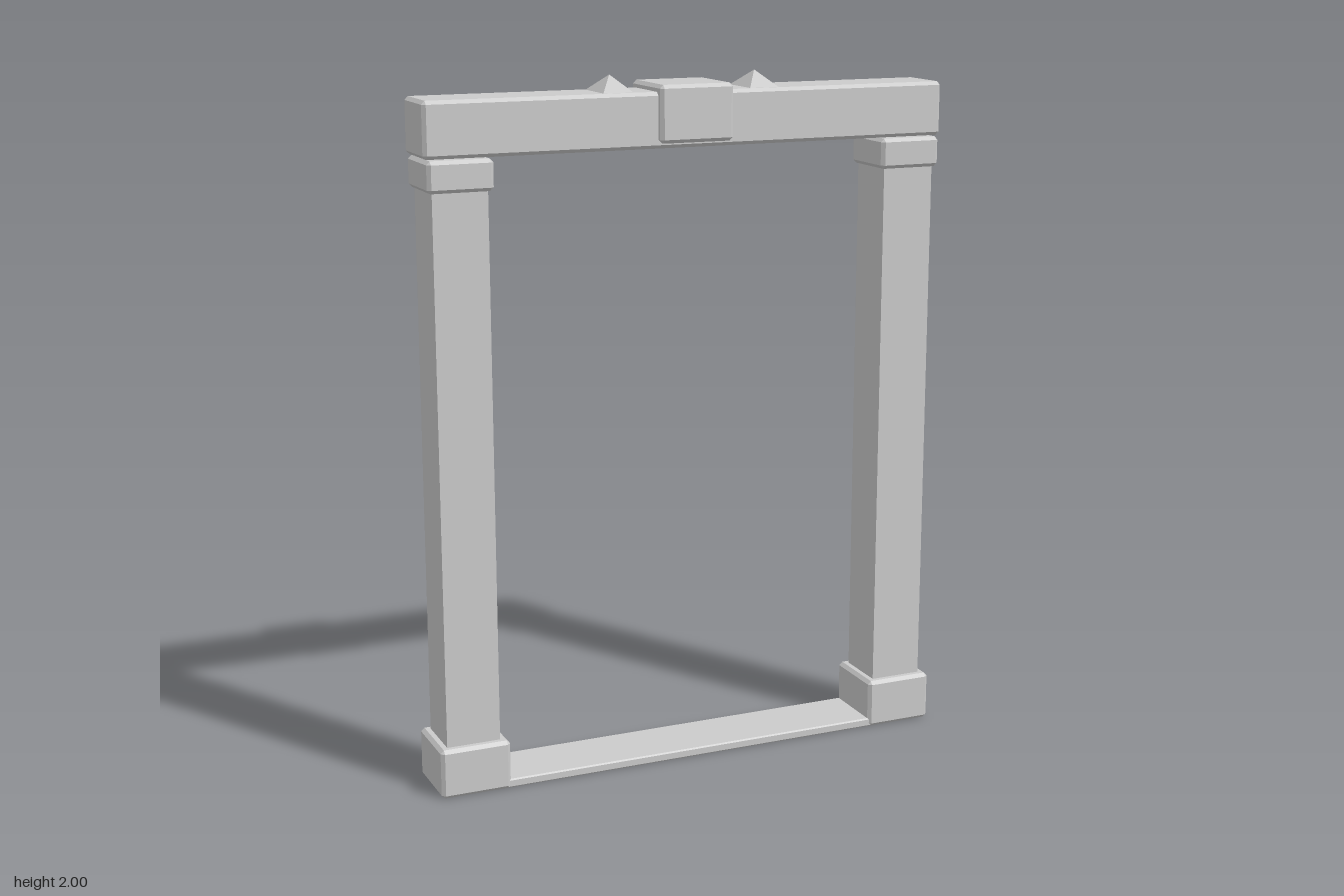
import * as THREE from 'three';
import { ConvexGeometry } from 'three/addons/geometries/ConvexGeometry.js';

const material = new THREE.MeshStandardMaterial({ color: 0xcccccc, flatShading: true });

// Box with every edge chamfered: the hull of three slightly inset faces per corner
function chamferBox(width, height, depth, bevel) {
  const half = [width / 2, height / 2, depth / 2];
  const points = [];
  for (const sx of [-1, 1]) for (const sy of [-1, 1]) for (const sz of [-1, 1]) {
    for (let full = 0; full < 3; full++) {
      const c = half.map((h, axis) => (axis === full ? h : h - bevel));
      points.push(new THREE.Vector3(sx * c[0], sy * c[1], sz * c[2]));
    }
  }
  return new ConvexGeometry(points);
}

export function createModel() {
  const model = new THREE.Group();
  model.name = 'doorFrame';

  function add(name, geometry, x, y0, y1) {
    const mesh = new THREE.Mesh(geometry, material);
    mesh.name = name;
    mesh.position.set(x, (y0 + y1) / 2, 0);
    model.add(mesh);
  }
  function block(name, x, width, y0, y1, depth, bevel = 0.01) {
    add(name, chamferBox(width, y1 - y0, depth, bevel), x, y0, y1);
  }

  // Threshold and the beam across the top
  block('threshold', 0, 1.54, 0, 0.026, 0.194, 0.004);
  block('lintel', 0, 1.56, 1.8, 1.955, 0.172);
  block('keystone', 0, 0.22, 1.815, 1.975, 0.212);

  for (const [side, s] of [['left', 1], ['right', -1]]) {
    // Column with its plinth and capital
    block(side + 'Plinth', s * 0.68, 0.206, 0, 0.145, 0.206);
    add(side + 'Column', new THREE.BoxGeometry(0.157, 1.6, 0.157), s * 0.68, 0.125, 1.725);
    block(side + 'Capital', s * 0.68, 0.186, 1.71, 1.797, 0.186);

    // Four-sided pyramid on the lintel, squared to the axes
    const spike = new THREE.ConeGeometry(Math.SQRT1_2, 0.05, 4).rotateY(Math.PI / 4).scale(0.098, 1, 0.15);
    add(side + 'Spike', spike, s * 0.22, 1.95, 2);
  }
  return model;
}
